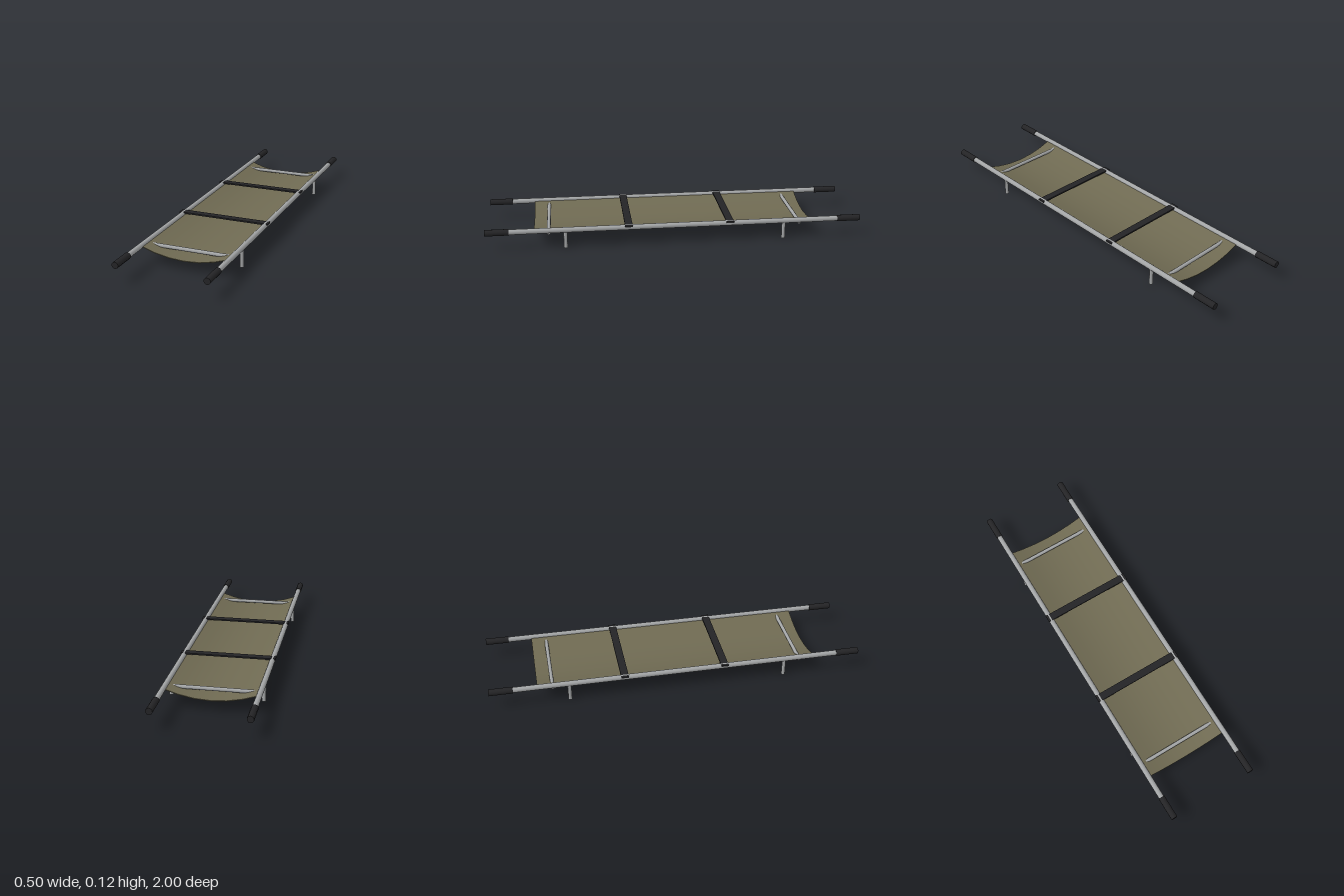
import * as THREE from 'three';

export function createModel() {
  const model = new THREE.Group();
  model.name = 'stretcher';

  const material = (name, color) => {
    const m = new THREE.MeshStandardMaterial({ color });
    m.name = name;
    return m;
  };
  const metal = material('brushed metal', 0xa3a5a6);
  const canvas = material('olive canvas', 0x6f6a52);
  const black = material('black rubber', 0x242426);

  const add = (name, geometry, mat, x, y, z) => {
    const mesh = new THREE.Mesh(geometry, mat);
    mesh.name = name;
    mesh.position.set(x, y, z);
    model.add(mesh);
    return mesh;
  };

  const poleX = 0.235, poleY = 0.1;

  // Carrying poles, hand grips and legs
  const poleGeo = new THREE.CylinderGeometry(0.0143, 0.0143, 1.96, 12).rotateX(Math.PI / 2);
  const gripGeo = new THREE.CylinderGeometry(0.0175, 0.0175, 0.125, 10).rotateX(Math.PI / 2);
  const legGeo = new THREE.CylinderGeometry(0.01, 0.01, poleY, 10);
  for (const sx of [-1, 1]) {
    const side = sx > 0 ? 'left' : 'right';
    add(side + 'Pole', poleGeo, metal, sx * poleX, poleY, 0);
    for (const sz of [-1, 1]) {
      const end = sz > 0 ? 'Front' : 'Back';
      add(side + end + 'Grip', gripGeo, black, sx * poleX, poleY, sz * 0.9375);
      add(side + end + 'Leg', legGeo, metal, sx * poleX, poleY / 2, sz * 0.583);
    }
  }

  // Spreader bars between the poles
  const barGeo = new THREE.CylinderGeometry(0.01, 0.01, 2 * poleX - 0.004, 10).rotateZ(Math.PI / 2);
  add('frontSpreaderBar', barGeo, metal, 0, 0.085, 0.67);
  add('backSpreaderBar', barGeo, metal, 0, 0.085, -0.67);

  // Canvas bed sagging between the poles
  const bed = new THREE.BoxGeometry(2 * poleX, 0.004, 1.5, 6, 1, 1);
  const p = bed.attributes.position;
  for (let i = 0; i < p.count; i++) {
    p.setY(i, p.getY(i) + 0.045 * (p.getX(i) / poleX) ** 2);
  }
  bed.computeVertexNormals();
  add('canvasBed', bed, canvas, 0, 0.0575, 0);

  // Restraint straps laid across the poles
  const strapGeo = new THREE.BoxGeometry(0.504, 0.008, 0.04);
  add('frontStrap', strapGeo, black, 0, 0.1092, 0.25);
  add('backStrap', strapGeo, black, 0, 0.1092, -0.29);

  return model;
}
